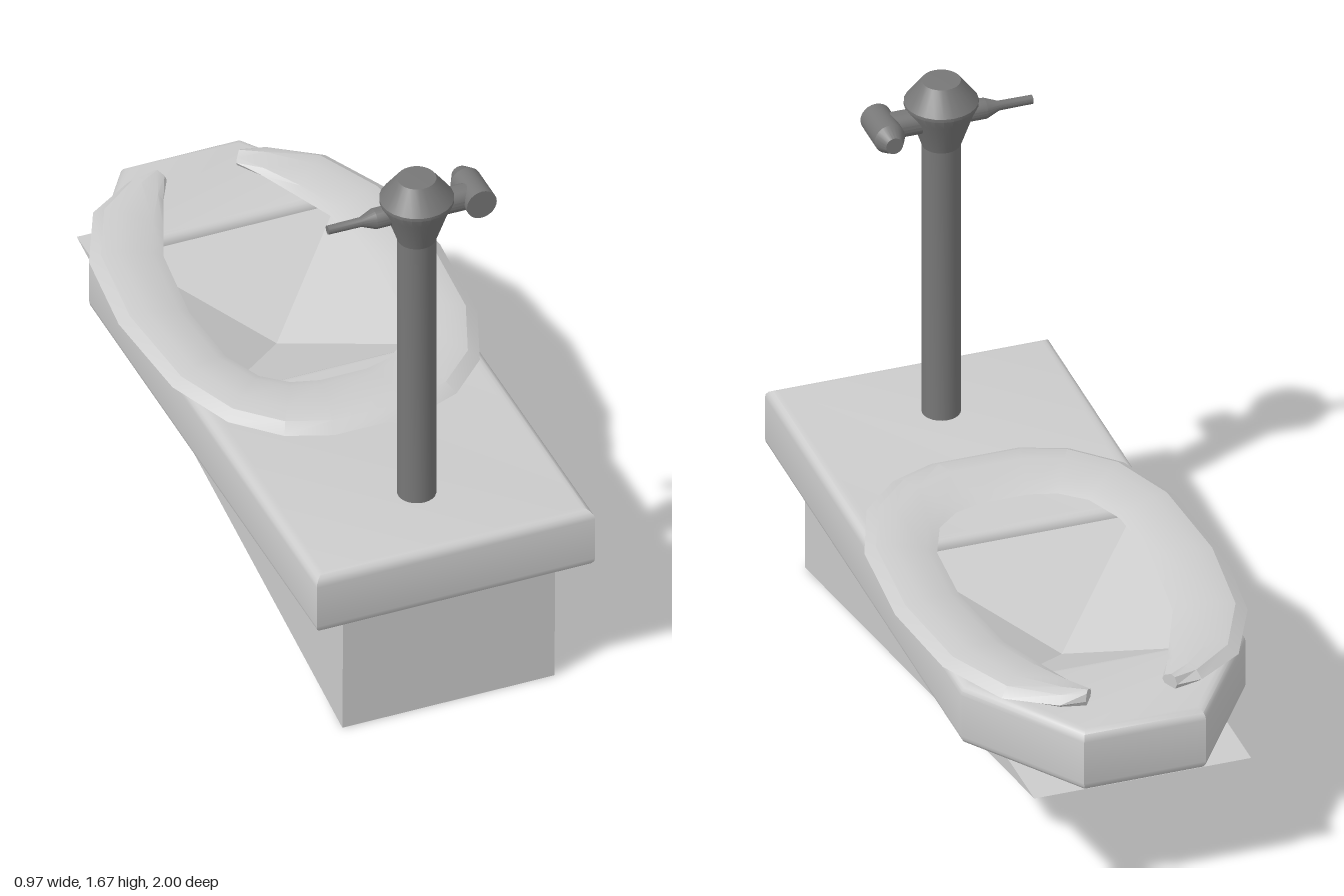
import * as THREE from 'three';
import { toCreasedNormals } from 'three/addons/utils/BufferGeometryUtils.js';

const pale = new THREE.MeshStandardMaterial({ color: 0xcccccc, side: THREE.DoubleSide });
const metal = new THREE.MeshStandardMaterial({ color: 0x777777 });

function part(parent, name, geometry, material, x = 0, y = 0, z = 0) {
  const mesh = new THREE.Mesh(geometry, material);
  mesh.name = name;
  mesh.position.set(x, y, z);
  parent.add(mesh);
  return mesh;
}

// Closed mirrored outline from right-hand [x, z] points
const mirrored = (half) => [...half, ...half.map(([x, z]) => [-x, z]).reverse()];
// Plan points become shape points that lie flat after rotateX(-PI / 2)
const plan = (points) => points.map(([x, z]) => new THREE.Vector2(x, -z));

// Bevelled slab with an opening
function slabGeometry(rim) {
  const shape = new THREE.Shape(plan(mirrored([[0.42, 1], [0.42, -0.65], [0.18, -1]])));
  shape.holes.push(new THREE.Path(plan(rim)));
  const geo = new THREE.ExtrudeGeometry(shape, {
    depth: 0.135, bevelThickness: 0.03, bevelSize: 0.03, bevelOffset: -0.03, bevelSegments: 4,
  });
  geo.rotateX(-Math.PI / 2).translate(0, 0.415, 0);
  return toCreasedNormals(geo, 0.6);
}

// Four sloping faces meeting at the bottom of the bowl
function bowlGeometry(rim) {
  const pos = [];
  rim.forEach(([x, z], i) => {
    const [nx, nz] = rim[(i + 1) % rim.length];
    pos.push(x, 0.55, z, 0, 0.39, -0.3, nx, 0.55, nz);
  });
  const geo = new THREE.BufferGeometry();
  geo.setAttribute('position', new THREE.Float32BufferAttribute(pos, 3));
  geo.computeVertexNormals();
  // upward-facing winding
  if (geo.attributes.normal.getY(0) < 0) {
    const p = geo.attributes.position.array;
    for (let i = 0; i < p.length; i += 9) {
      for (let k = 0; k < 3; k++) [p[i + 3 + k], p[i + 6 + k]] = [p[i + 6 + k], p[i + 3 + k]];
    }
    geo.computeVertexNormals();
  }
  return geo;
}

// Open-ended horseshoe: a flat lens section swept between outer and inner edges
function seatGeometry() {
  const outerHalf = [[0.135, -0.885], [0.21, -0.88], [0.35, -0.79], [0.45, -0.58], [0.485, -0.28],
    [0.46, 0.05], [0.38, 0.26], [0.26, 0.38], [0.13, 0.43]];
  const innerHalf = [[0.105, -0.845], [0.15, -0.76], [0.2, -0.64], [0.25, -0.52], [0.285, -0.25],
    [0.27, -0.02], [0.22, 0.1], [0.15, 0.16], [0.07, 0.183]];
  const outer = mirrored(outerHalf), inner = mirrored(innerHalf);
  // [fraction from outer to inner edge, height]
  const section = [[0, 0.608], [0.16, 0.63], [0.4, 0.637], [0.85, 0.626], [1, 0.613], [0.85, 0.6], [0.15, 0.592]];
  const n = section.length, pos = [], index = [];
  outer.forEach(([ox, oz], i) => {
    const [ix, iz] = inner[i];
    section.forEach(([t, y]) => pos.push(ox + (ix - ox) * t, y, oz + (iz - oz) * t));
  });
  for (let i = 0; i < outer.length - 1; i++) {
    for (let j = 0; j < n; j++) {
      const a = i * n + j, b = i * n + (j + 1) % n;
      index.push(a, b, a + n, b, b + n, a + n);
    }
  }
  const last = (outer.length - 1) * n;
  for (let j = 1; j < n - 1; j++) index.push(0, j + 1, j, last, last + j, last + j + 1);
  const geo = new THREE.BufferGeometry();
  geo.setAttribute('position', new THREE.Float32BufferAttribute(pos, 3));
  geo.setIndex(index);
  return toCreasedNormals(geo, 0.4);
}

// Turned metal piece from [radius, height] points
function turned(profile) {
  const points = profile.map(([r, y]) => new THREE.Vector2(r, y));
  return toCreasedNormals(new THREE.LatheGeometry(points, 24), 0.45);
}

export function createModel() {
  const model = new THREE.Group();
  model.name = 'toilet';

  // Basin
  const rim = mirrored([[0.34, 0.08], [0.32, -0.64]]);
  part(model, 'basinSlab', slabGeometry(rim), pale);
  part(model, 'bowl', bowlGeometry(rim), pale);
  const underside = new THREE.PlaneGeometry(0.75, 0.8).rotateX(Math.PI / 2);
  part(model, 'basinUnderside', underside, pale, 0, 0.384, -0.28);

  // Wedge-shaped base, tapering toward -z
  const wedge = new THREE.Shape(plan([[0.95, -0.365], [0.945, 0], [-0.98, -0.385]]));
  const base = new THREE.ExtrudeGeometry(wedge, { depth: 0.64, bevelEnabled: false });
  base.rotateY(-Math.PI / 2).translate(0.32, 0, 0);
  part(model, 'wedgeBase', base, pale);

  part(model, 'seat', seatGeometry(), pale);

  // Flush pipe and valve
  const valve = new THREE.Group();
  valve.name = 'flushValve';
  valve.position.set(-0.005, 0, 0.727);
  model.add(valve);
  part(valve, 'flushPipe', turned([[0, 0.575], [0.055, 0.575], [0.055, 1.46]]), metal);
  part(valve, 'valveHead', turned([[0.055, 1.46], [0.09, 1.56], [0.105, 1.592], [0.105, 1.602],
    [0.055, 1.668], [0, 1.67]]), metal);

  // Handle toward -x
  const handle = turned([[0.03, 0.05], [0.03, 0.125], [0.014, 0.165], [0.013, 0.265], [0, 0.265]]);
  part(valve, 'handle', handle, metal, 0, 1.555, -0.01).rotation.z = Math.PI / 2;

  // Side arm toward +x with a stop valve lying along z
  const arm = turned([[0.038, 0.04], [0.038, 0.17]]);
  part(valve, 'sideArm', arm, metal, 0, 1.555, -0.01).rotation.z = -Math.PI / 2;
  const stop = turned([[0, -0.045], [0.045, -0.045], [0.045, 0.075], [0.025, 0.115], [0, 0.115]]);
  part(valve, 'stopValve', stop, metal, 0.178, 1.555, 0).rotation.x = -Math.PI / 2;

  return model;
}
